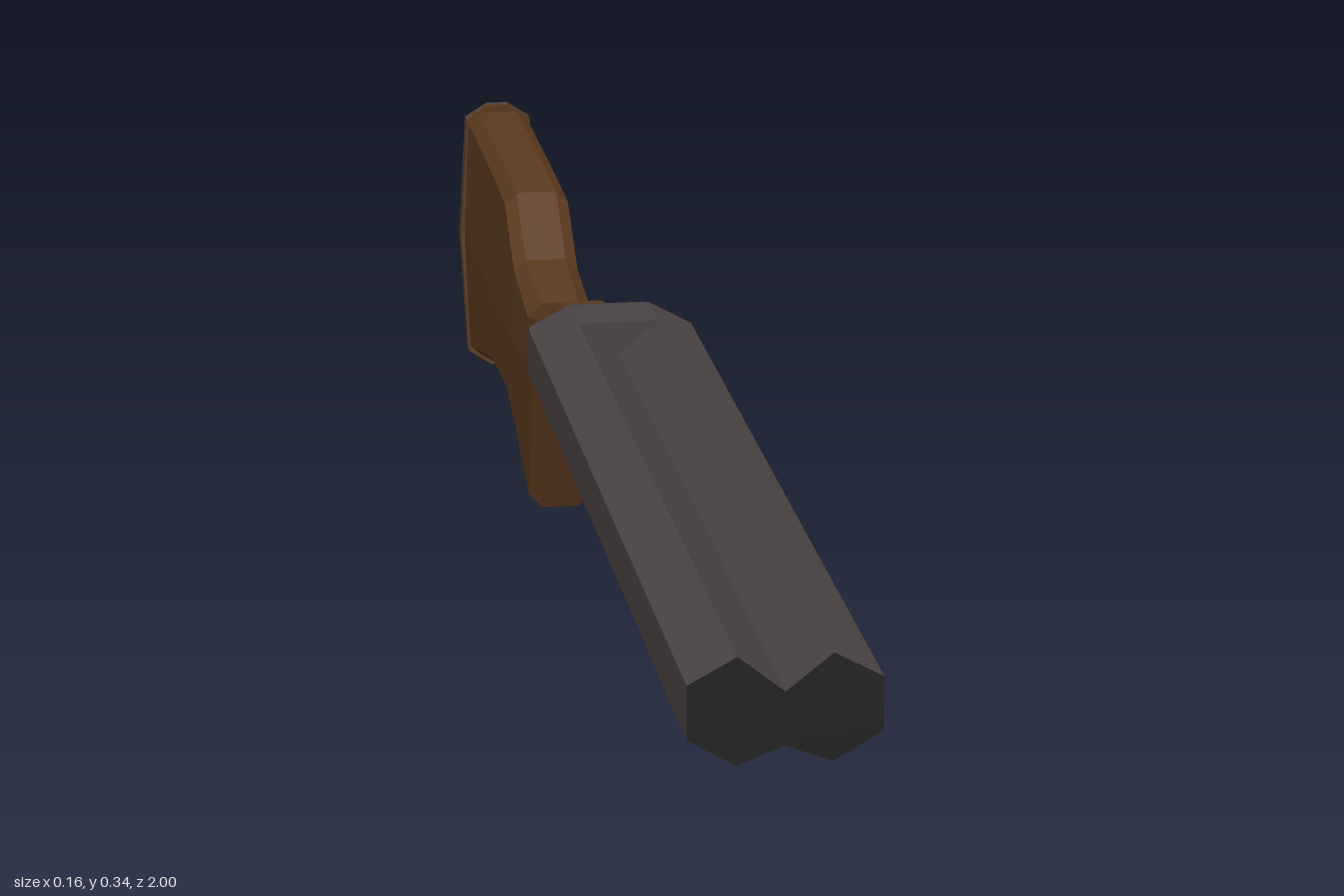
import * as THREE from 'three';

const flat = (name, color) => {
  const m = new THREE.MeshStandardMaterial({ color, flatShading: true });
  m.name = name;
  return m;
};

// Closed ring, clockwise seen from the front, from its right-hand half (top to bottom).
const mirror = (half, z, bulge = []) => {
  const right = half.map(([x, y], i) => new THREE.Vector3(x, y, z - (bulge[i] || 0)));
  const left = right.map(p => new THREE.Vector3(-p.x, p.y, p.z)).reverse();
  return [...right, ...left];
};

// Skin between rings ordered front to back, with optional end caps.
function loft(rings, caps = true) {
  const pos = [];
  const tri = (...pts) => pts.forEach(p => pos.push(p.x, p.y, p.z));
  const n = rings[0].length;
  for (let i = 0; i < rings.length - 1; i++) {
    for (let j = 0; j < n; j++) {
      const a = rings[i][j], b = rings[i][(j + 1) % n];
      const c = rings[i + 1][j], d = rings[i + 1][(j + 1) % n];
      tri(a, b, c);
      tri(b, d, c);
    }
  }
  if (caps) {
    const f = rings[0], r = rings[rings.length - 1];
    for (let j = 0; j < n / 2 - 1; j++) {
      const k = n - 1 - j;
      tri(f[j], f[k], f[k - 1]);
      tri(f[j], f[k - 1], f[j + 1]);
      tri(r[j], r[k - 1], r[k]);
      tri(r[j], r[j + 1], r[k - 1]);
    }
  }
  const g = new THREE.BufferGeometry();
  g.setAttribute('position', new THREE.Float32BufferAttribute(pos, 3));
  g.computeVertexNormals();
  return g;
}

// Chamfered section: flat top and bottom, sides with a ridge at mid height.
const section = ({ z, top, bot, w, mid = w, edge = 0.022, cT = 0.012, cB = 0.012, ridge = (top + bot) / 2 }) =>
  mirror([[edge, top], [w, top - cT], [mid, ridge], [w, bot + cB], [edge, bot]], z);

export function createModel() {
  const model = new THREE.Group();
  model.name = 'doubleBarrelShotgun';
  const steel = flat('gunmetal', 0x4b4343);
  const wood = flat('walnut', 0x5b3a1f);
  const black = flat('muzzleBlack', 0x222222);
  const add = (name, geometry, material) => {
    const mesh = new THREE.Mesh(geometry, material);
    mesh.name = name;
    model.add(mesh);
    return mesh;
  };

  // Twin barrels with a V groove above and below
  const barrel = [[0, 0.313], [0.04, 0.345], [0.082, 0.322], [0.082, 0.275], [0.04, 0.25], [0, 0.266]];
  add('barrels', loft([mirror(barrel, 1), mirror(barrel, 0.03)], false), steel);

  // Black muzzle face
  const outline = mirror(barrel, 0).map(p => new THREE.Vector2(p.x, p.y));
  outline.splice(6, 1);
  outline.pop();
  add('muzzle', new THREE.ShapeGeometry(new THREE.Shape(outline)), black).position.z = 1;

  // Breech block closing the groove, rounded at the rear
  const breech = (z, sx, sy) => mirror(
    [[0.04, 0.345], [0.082, 0.322], [0.082, 0.275], [0.04, 0.25]]
      .map(([x, y]) => [x * sx, 0.2985 + (y - 0.2985) * sy]), z);
  add('breechBlock', loft([
    breech(0.03, 1, 1), breech(-0.035, 1, 1), breech(-0.06, 0.92, 0.86), breech(-0.08, 0.66, 0.5),
  ]), steel);

  // Receiver below and behind the barrels
  const neck = { top: 0.31, bot: 0.175, w: 0.036, mid: 0.04, cT: 0.022, cB: 0.025, ridge: 0.235 };
  add('receiver', loft([
    section({ ...neck, z: 0.18, top: 0.275 }),
    section({ ...neck, z: 0.02, top: 0.275 }),
    section({ ...neck, z: -0.05 }),
    section({ ...neck, z: -0.095 }),
  ]), steel);

  // Wooden fore-end
  add('foreEnd', loft([
    section({ z: 0.6, top: 0.27, bot: 0.212, w: 0.021, edge: 0.018, cB: 0.006 }),
    section({ z: 0.56, top: 0.27, bot: 0.186, w: 0.035, edge: 0.02, cB: 0.02 }),
    section({ z: 0.32, top: 0.27, bot: 0.166, w: 0.038, mid: 0.04, cB: 0.025, ridge: 0.235 }),
    section({ ...neck, z: 0.18, top: 0.275 }),
  ]), wood);

  // Stock: wrist, pistol grip, comb and butt
  add('stock', loft([
    section({ ...neck, z: -0.095 }),
    section({ ...neck, z: -0.25, top: 0.286, ridge: 0.24 }),
    section({ z: -0.36, top: 0.253, bot: 0.136, w: 0.035, mid: 0.039, cT: 0.018, cB: 0.025, ridge: 0.205 }),
    section({ z: -0.42, top: 0.236, bot: 0.005, w: 0.035, mid: 0.038, edge: 0.02, cT: 0.016, cB: 0.016, ridge: 0.17 }),
    section({ z: -0.54, top: 0.25, bot: 0.05, w: 0.035, mid: 0.038, ridge: 0.16 }),
    section({ z: -0.62, top: 0.305, bot: 0.071, w: 0.035, mid: 0.038, ridge: 0.16 }),
    section({ z: -0.76, top: 0.308, bot: 0.063, w: 0.035, mid: 0.038, ridge: 0.16 }),
    section({ z: -0.978, top: 0.308, bot: 0.012, w: 0.035, mid: 0.04, ridge: 0.155 }),
  ]), wood);

  // Flared wooden rim and slightly bowed steel butt plate
  const butt = [[0.012, 0.315], [0.037, 0.299], [0.044, 0.157], [0.037, 0.019], [0.01, 0.001]];
  const bow = [0, 0.001, 0.008, 0.001, 0];
  add('buttRim', loft([mirror(butt, -0.973, bow), mirror(butt, -0.985, bow)]), wood);
  add('buttPlate', loft([mirror(butt, -0.985, bow), mirror(butt, -0.992, bow)]), steel);

  return model;
}
